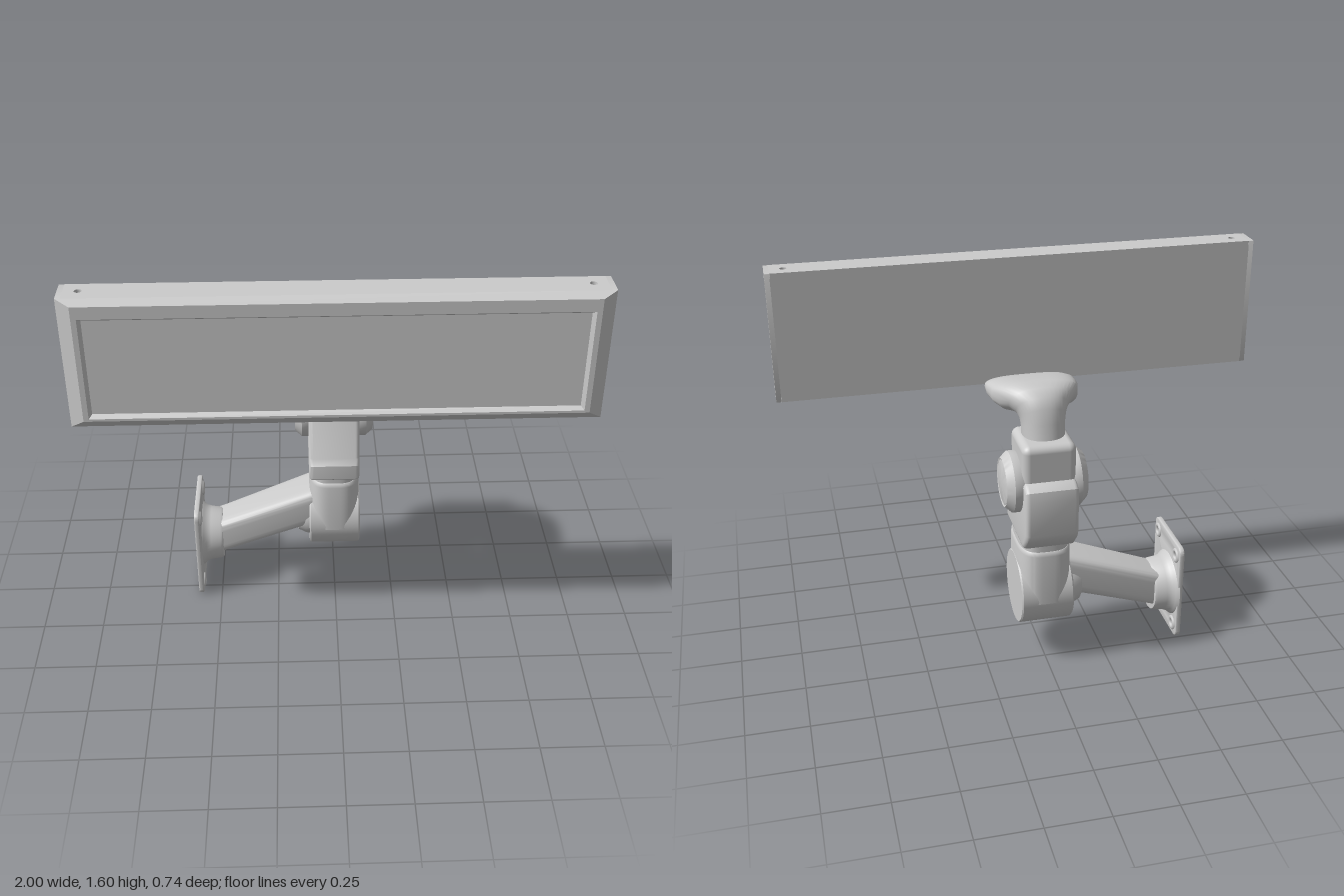
import * as THREE from 'three';
import { toCreasedNormals } from 'three/addons/utils/BufferGeometryUtils.js';
import { RoundedBoxGeometry } from 'three/addons/geometries/RoundedBoxGeometry.js';

const V = (x, y, z) => new THREE.Vector3(x, y, z);
const material = new THREE.MeshStandardMaterial({ color: 0xcccccc });

// Closed skin over a list of equal-length rings, capped at both ends and facing outwards
function loft(rings, crease = 0.6) {
  const tris = [];
  const n = rings[0].length;
  for (let r = 0; r < rings.length - 1; r++) {
    for (let i = 0; i < n; i++) {
      const j = (i + 1) % n, a = rings[r], b = rings[r + 1];
      tris.push([a[i], a[j], b[j]], [a[i], b[j], b[i]]);
    }
  }
  const cap = (ring, flip) => {
    const c = ring.reduce((s, p) => s.add(p), V(0, 0, 0)).divideScalar(n);
    ring.forEach((p, i) => {
      const q = ring[(i + 1) % n];
      tris.push(flip ? [c, q, p] : [c, p, q]);
    });
  };
  cap(rings[0], true);
  cap(rings[rings.length - 1], false);
  const volume = tris.reduce((s, [a, b, c]) => s + a.dot(b.clone().cross(c)), 0);
  const points = tris.flatMap(([a, b, c]) => (volume < 0 ? [a, c, b] : [a, b, c]));
  return toCreasedNormals(new THREE.BufferGeometry().setFromPoints(points), crease);
}

// Rounded ring around centre c, spanned by half-axes u and v; a higher power is squarer
function ring(c, u, v, power = 2, n = 40) {
  const f = (t) => Math.sign(t) * Math.abs(t) ** (2 / power);
  return Array.from({ length: n }, (_, i) => {
    const a = (i / n) * Math.PI * 2;
    return c.clone().addScaledVector(u, f(Math.cos(a))).addScaledVector(v, f(Math.sin(a)));
  });
}

// Rectangle with rounded corners, centred at cx, cy
function roundRect(cx, cy, w, h, r, Type = THREE.Shape) {
  const s = new Type();
  const x = w / 2 - r, y = h / 2 - r;
  s.absarc(cx + x, cy + y, r, 0, Math.PI / 2);
  s.absarc(cx - x, cy + y, r, Math.PI / 2, Math.PI);
  s.absarc(cx - x, cy - y, r, Math.PI, Math.PI * 1.5);
  s.absarc(cx + x, cy - y, r, Math.PI * 1.5, Math.PI * 2);
  s.closePath();
  return s;
}
const hole = (x, y, r) => new THREE.Path().absarc(x, y, r, 0, Math.PI * 2);

// Shape drawn as (z, y) and extruded from x0 to x1
function extrudeX(shape, x0, x1, bevel = 0) {
  const g = new THREE.ExtrudeGeometry(shape, {
    depth: x1 - x0 - 2 * bevel, bevelEnabled: bevel > 0, bevelSize: bevel,
    bevelThickness: bevel, bevelOffset: -bevel, bevelSegments: 3, curveSegments: 16,
  });
  g.translate(0, 0, bevel - (x1 - x0)).rotateY(-Math.PI / 2).translate(x0, 0, 0);
  return toCreasedNormals(g, 0.6);
}

// Turned part along x from [radius, x] pairs; dir -1 points it to -x
function turned(profile, y, z, dir = 1) {
  const g = new THREE.LatheGeometry(profile.map((p) => new THREE.Vector2(...p)), 48);
  g.rotateZ(-dir * Math.PI / 2).translate(0, y, z);
  return toCreasedNormals(g, 0.5);
}

export function createModel() {
  const model = new THREE.Group();
  const add = (name, geometry, parent = model) => {
    const m = new THREE.Mesh(geometry, material);
    m.name = name;
    parent.add(m);
    return m;
  };

  // Display panel: chamfered front with a recessed screen
  const panel = new THREE.Group();
  panel.name = 'panel';
  model.add(panel);
  const rect = (x, y0, y1, z) => [V(-x, y0, z), V(x, y0, z), V(x, y1, z), V(-x, y1, z)];
  add('panelBody', loft([
    rect(0.98, 1.09, 1.585, 0.215), rect(0.98, 1.09, 1.585, 0.33), rect(1, 1.07, 1.605, 0.33),
    rect(0.945, 1.115, 1.59, 0.37), rect(0.925, 1.125, 1.54, 0.37), rect(0.913, 1.137, 1.528, 0.352),
  ], 0.2), panel);

  // End plates with long slots
  for (const s of [-1, 1]) {
    const end = roundRect(0.2725, 1.3375, 0.115, 0.535, 0.002);
    end.holes.push(roundRect(0.283, 1.335, 0.045, 0.45, 0.02, THREE.Path));
    add(s < 0 ? 'rightEnd' : 'leftEnd', extrudeX(end, s < 0 ? -1 : 0.98, s < 0 ? -0.98 : 1), panel);
  }
  // Top and bottom plates with screw holes
  for (const y of [1.07, 1.585]) {
    const strip = roundRect(0, -0.2725, 1.96, 0.115, 0.002);
    strip.holes.push(hole(-0.925, -0.272, 0.014), hole(0.925, -0.272, 0.014));
    const g = new THREE.ExtrudeGeometry(strip, { depth: 0.02, bevelEnabled: false });
    add(y < 1.2 ? 'bottomStrip' : 'topStrip', g.rotateX(-Math.PI / 2).translate(0, y, 0), panel);
  }

  // Curved support: each section runs from an underside to a top point [z, y], with a half width
  const sections = [
    [0.218, 1.07, 0.218, 1.085, 0.135], [0.17, 1.07, 0.165, 1.105, 0.155],
    [0.11, 1.07, 0.1, 1.148, 0.175], [0.04, 1.07, 0.03, 1.172, 0.182],
    [-0.04, 1.07, -0.04, 1.187, 0.176], [-0.09, 1.07, -0.11, 1.201, 0.16],
    [-0.11, 1.066, -0.175, 1.197, 0.13], [-0.115, 1.055, -0.213, 1.172, 0.105],
    [-0.11, 1.04, -0.235, 1.13, 0.092], [-0.1, 1.02, -0.25, 1.07, 0.086],
    [-0.09, 0.98, -0.27, 0.98, 0.085],
  ];
  add('supportBracket', loft(sections.map(([z0, y0, z1, y1, w], i) => ring(
    V(-0.005, (y0 + y1) / 2, (z0 + z1) / 2), V(w, 0, 0),
    V(0, (y1 - y0) / 2, (z1 - z0) / 2), i < 6 ? 3 : 2.2))));

  // Tilt joint: collar, housing and round side caps
  add('collar', new RoundedBoxGeometry(0.215, 0.3, 0.235, 4, 0.03).translate(-0.002, 0.86, -0.197));
  const housing = new THREE.Shape([
    [0, 0.57], [0, 0.635], [-0.02, 0.66], [-0.055, 0.83], [-0.085, 0.86], [-0.325, 0.86],
    [-0.36, 0.84], [-0.367, 0.8], [-0.367, 0.65], [-0.355, 0.62], [-0.31, 0.57], [-0.29, 0.56], [-0.01, 0.56],
  ].reverse().map((p) => new THREE.Vector2(...p)));
  add('tiltHousing', extrudeX(housing, -0.108, 0.106, 0.018));
  const cap = [[0.115, 0.08], [0.124, 0.1], [0.124, 0.135], [0.098, 0.164], [0.09, 0.161], [0.085, 0.163], [0, 0.168]];
  add('leftPivotCap', turned(cap, 0.815, -0.19, 1));
  add('rightPivotCap', turned(cap, 0.815, -0.19, -1));

  // Swivel post: narrow groove, rounded column and drum at its foot
  const level = (y, k) => ring(V(0.001, y, -0.157), V(0.108 * k, 0, 0), V(0, 0, 0.157 * k), 3.2, 64);
  add('swivelGroove', loft([level(0.5, 0.94), level(0.59, 0.94)]));
  add('swivelPost', loft([level(0.3, 1), level(0.522, 1), level(0.534, 0.985), level(0.54, 0.95)]));
  add('elbowDrum', turned(
    [[0, -0.108], [0.15, -0.108], [0.155, -0.102], [0.155, 0.104], [0.15, 0.11], [0, 0.11]], 0.311, -0.157));
  add('elbowWasher', turned(
    [[0, -0.175], [0.07, -0.17], [0.095, -0.155], [0.11, -0.125], [0.115, -0.1]], 0.315, -0.15));

  // Sloping arm between wall mount and elbow
  const armEnd = (x, y0, y1, z0, z1) => ring(
    V(x, (y0 + y1) / 2, (z0 + z1) / 2), V(0, (y1 - y0) / 2, 0), V(0, 0, (z1 - z0) / 2), 5, 48);
  add('arm', loft([
    armEnd(-0.54, 0.13, 0.295, -0.205, -0.045), armEnd(-0.48, 0.15, 0.315, -0.21, -0.045),
    armEnd(-0.11, 0.285, 0.458, -0.24, -0.04), armEnd(-0.07, 0.3, 0.465, -0.24, -0.05),
  ]));

  // Wall mount: drilled plate, flared socket and screw bosses
  const plate = roundRect(-0.095, 0.222, 0.32, 0.436, 0.03);
  plate.holes.push(hole(-0.1, 0.205, 0.038));
  const bosses = new THREE.Group();
  bosses.name = 'screwBosses';
  model.add(bosses);
  for (const z of [0.018, -0.208]) {
    for (const y of [0.055, 0.39]) {
      plate.holes.push(hole(z, y, 0.014));
      add('screwBoss', new THREE.TorusGeometry(0.023, 0.01, 8, 24)
        .rotateY(Math.PI / 2).translate(-0.58, y, z), bosses);
    }
  }
  add('wallPlate', extrudeX(plate, -0.6, -0.578, 0.005));
  add('wallSocket', turned([
    [0, -0.585], [0.145, -0.585], [0.135, -0.57], [0.125, -0.56], [0.118, -0.54],
    [0.113, -0.5], [0.108, -0.49], [0, -0.487],
  ], 0.21, -0.12));

  return model;
}
